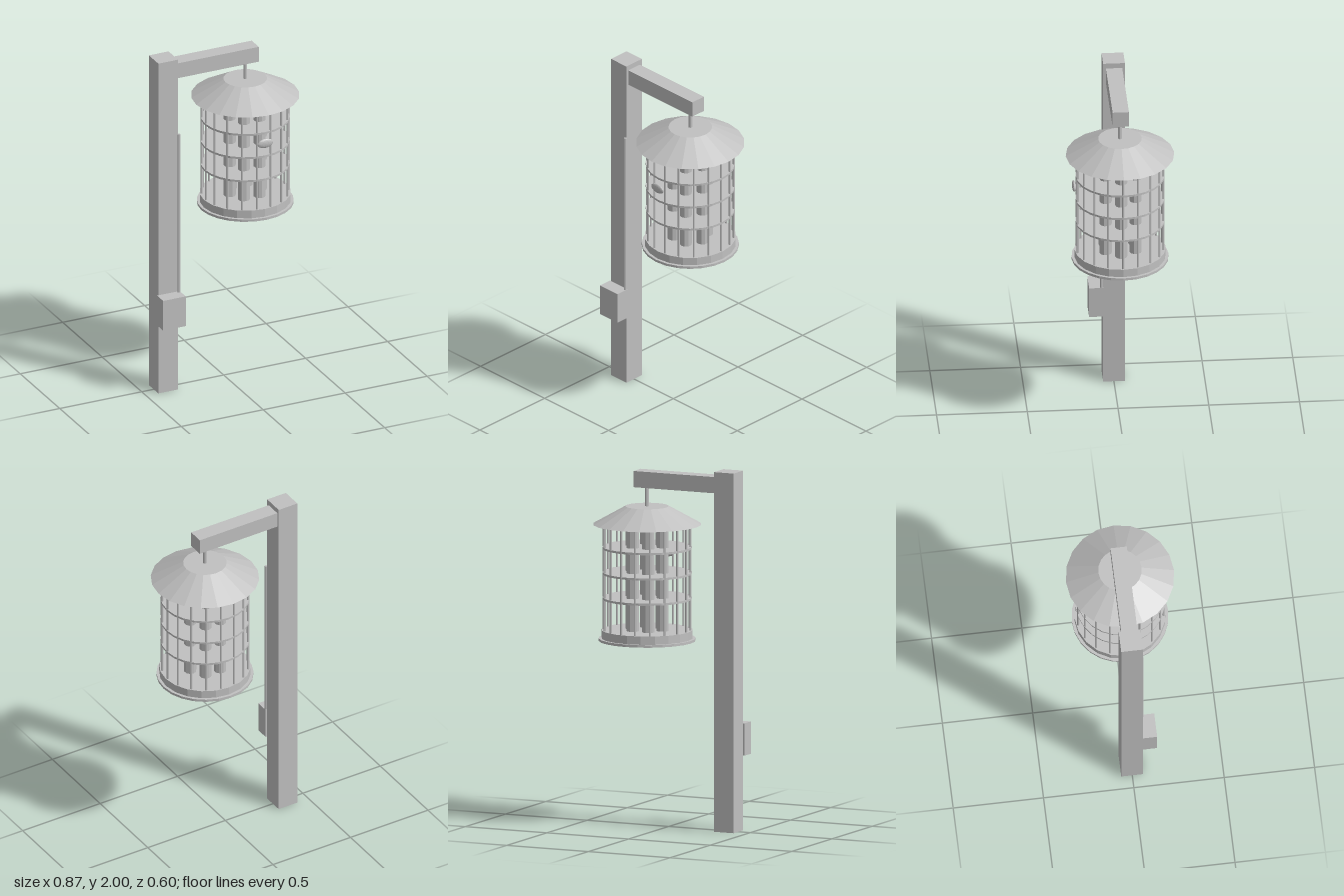
import * as THREE from 'three';

export function createModel() {
  const model = new THREE.Group();
  const grey = new THREE.MeshStandardMaterial({ color: 0xc0c0c0, flatShading: true });
  grey.name = 'plain grey';

  const add = (parent, name, geometry, x, y, z) => {
    const mesh = new THREE.Mesh(geometry, grey);
    mesh.name = name;
    mesh.position.set(x, y, z);
    parent.add(mesh);
    return mesh;
  };
  // Box given by its minimum and maximum corners
  const box = (name, a, b) => add(model, name,
    new THREE.BoxGeometry(b[0] - a[0], b[1] - a[1], b[2] - a[2]),
    (a[0] + b[0]) / 2, (a[1] + b[1]) / 2, (a[2] + b[2]) / 2);
  // Upright cylinder or cone frustum between two heights
  const drum = (parent, name, rTop, rBottom, y0, y1, sides, x = 0, z = 0) =>
    add(parent, name, new THREE.CylinderGeometry(rTop, rBottom, y1 - y0, sides), x, (y0 + y1) / 2, z);

  // Post, arm and the control box with its conduit
  box('post', [-0.427, 0, -0.061], [-0.307, 2, 0.059]);
  box('arm', [-0.307, 1.88, -0.046], [0.193, 1.97, 0.044]);
  box('controlBox', [-0.435, 0.415, 0.059], [-0.297, 0.595, 0.137]);
  drum(model, 'conduit', 0.009, 0.009, 0.595, 1.552, 6, -0.306, 0.068);

  // Hanging cage
  const cage = new THREE.Group();
  cage.name = 'hangingCage';
  cage.position.set(0.132, 0, -0.001);
  model.add(cage);

  drum(cage, 'hanger', 0.011, 0.011, 1.77, 1.88, 8);
  drum(cage, 'roof', 0.12, 0.299, 1.673, 1.773, 20);
  drum(cage, 'baseRim', 0.267, 0.267, 1.026, 1.04, 24);
  drum(cage, 'base', 0.252, 0.252, 1.04, 1.086, 20);

  // Shelves between the wires
  for (const y of [1.262, 1.402, 1.543])
    drum(cage, 'shelf', 0.246, 0.246, y - 0.006, y + 0.006, 24);

  // Vertical cage wires
  const wires = 18;
  for (let i = 0; i < wires; i++) {
    const a = (i / wires) * Math.PI * 2;
    drum(cage, 'wire', 0.006, 0.006, 1.08, 1.68, 6, 0.24 * Math.cos(a), 0.24 * Math.sin(a));
  }

  // Ring of inner tubes
  for (let i = 0; i < 6; i++) {
    const a = (i / 6) * Math.PI * 2;
    drum(cage, 'innerTube', 0.034, 0.034, 1.08, 1.665, 10, 0.095 * Math.cos(a), 0.095 * Math.sin(a));
  }

  // Oval badge on the front
  const badge = add(cage, 'ovalBadge', new THREE.SphereGeometry(1, 16, 10), 0, 1.485, 0.254);
  badge.scale.set(0.047, 0.027, 0.011);

  return model;
}
